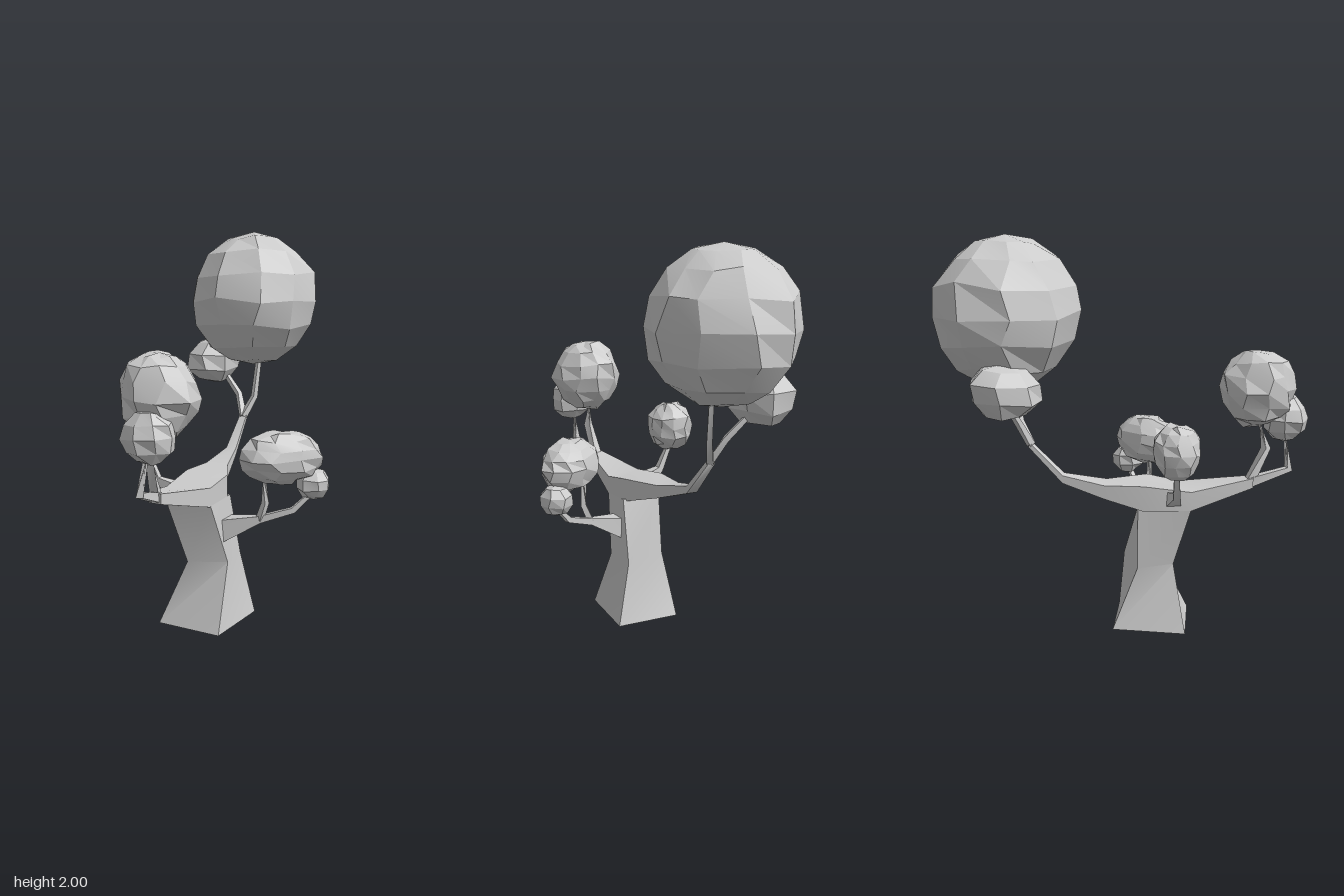
import * as THREE from 'three';
import { mergeVertices, toCreasedNormals } from 'three/addons/utils/BufferGeometryUtils.js';

const material = new THREE.MeshStandardMaterial({ color: 0xcccccc });

// Skin a list of four-cornered rings, capped at both ends
function loft(name, rings) {
  const index = [];
  for (let i = 0; i < rings.length - 1; i++) {
    for (let j = 0; j < 4; j++) {
      const a = i * 4 + j, b = i * 4 + (j + 1) % 4;
      index.push(a, b, b + 4, a, b + 4, a + 4);
    }
  }
  const e = (rings.length - 1) * 4;
  index.push(0, 2, 1, 0, 3, 2, e, e + 1, e + 2, e, e + 2, e + 3);
  const geo = new THREE.BufferGeometry();
  geo.setAttribute('position', new THREE.Float32BufferAttribute(rings.flat(2), 3));
  geo.setIndex(index);
  const mesh = new THREE.Mesh(toCreasedNormals(geo, 0.75), material);
  mesh.name = name;
  return mesh;
}

// Tapering square limb through points [x, y, z, half width]
function limb(name, path) {
  const pts = path.map(p => new THREE.Vector3(p[0], p[1], p[2]));
  const rings = pts.map((p, i) => {
    const t = pts[Math.min(i + 1, pts.length - 1)].clone().sub(pts[Math.max(i - 1, 0)]).normalize();
    const u = new THREE.Vector3(t.z, 0, -t.x).normalize();
    const v = t.clone().cross(u);
    return [[-1, -1], [1, -1], [1, 1], [-1, 1]].map(([a, b]) =>
      p.clone().addScaledVector(u, a * path[i][3]).addScaledVector(v, b * path[i][3]).toArray());
  });
  return loft(name, rings);
}

// Lumpy low-poly ball of leaves
function foliage(name, centre, radii, seed, { turn = 0, sides = 10, rows = 8, lump = 0.16 } = {}) {
  let s = seed * 7919;
  const random = () => (s = (s * 16807) % 2147483647) / 2147483647;
  for (let i = 0; i < 4; i++) random();
  let geo = new THREE.SphereGeometry(1, sides, rows);
  geo.deleteAttribute('uv');
  geo.deleteAttribute('normal');
  geo = mergeVertices(geo, 1e-3);
  const pos = geo.attributes.position, v = new THREE.Vector3(), up = new THREE.Vector3(0, 1, 0);
  for (let i = 0; i < pos.count; i++) {
    v.fromBufferAttribute(pos, i).applyAxisAngle(up, (random() - 0.5) * 0.25);
    v.y += (random() - 0.5) * 0.12;
    v.normalize().multiplyScalar(1.01 + (random() - 0.5) * lump);
    pos.setXYZ(i, v.x, v.y, v.z);
  }
  geo.scale(...radii);
  const mesh = new THREE.Mesh(toCreasedNormals(geo, 0.22), material);
  mesh.name = name;
  mesh.position.set(...centre);
  mesh.rotation.y = turn;
  return mesh;
}

export function createModel() {
  const tree = new THREE.Group();
  tree.name = 'tree';

  // Twisted four-sided trunk
  tree.add(loft('trunk', [
    [[-0.23, 0, 0.34], [0.12, 0, 0.34], [0.13, 0, -0.035], [-0.21, 0, -0.035]],
    [[-0.10, 0.33, 0.27], [0.085, 0.33, 0.18], [0.06, 0.33, 0], [-0.18, 0.33, 0.09]],
    [[-0.16, 0.645, 0.36], [0.05, 0.645, 0.29], [0.05, 0.66, 0.09], [-0.16, 0.66, 0.09]],
  ]));

  // Crown of the trunk, drawn out into the front and back boughs:
  // [z on the left, z on the right, x min, x max, y min, y max]
  tree.add(loft('mainBoughs', [
    [0.67, 0.67, -0.06, 0.01, 0.74, 0.79],
    [0.29, 0.36, -0.16, 0.05, 0.64, 0.738],
    [0.12, 0.12, -0.19, 0.05, 0.64, 0.77],
    [-0.08, -0.08, -0.19, -0.06, 0.70, 0.77],
    [-0.29, -0.29, -0.185, -0.125, 0.775, 0.815],
    [-0.46, -0.46, -0.185, -0.145, 0.96, 0.99],
  ].map(([zl, zr, a, b, lo, hi]) => [[b, lo, zl], [a, lo, zr], [a, hi, zr], [b, hi, zl]])));

  // Side branches and forked twigs
  const limbs = {
    frontTwigInner: [[-0.03, 0.765, 0.65, 0.022], [-0.01, 0.94, 0.73, 0.018], [0, 1.12, 0.68, 0.012]],
    frontTwigOuter: [[-0.03, 0.765, 0.65, 0.024], [0.02, 0.825, 0.85, 0.017], [0.05, 1.06, 0.82, 0.012]],
    backTwigInner: [[-0.165, 0.97, -0.45, 0.017], [-0.125, 1.08, -0.51, 0.014], [-0.11, 1.36, -0.55, 0.011]],
    backTwigOuter: [[-0.165, 0.97, -0.45, 0.017], [-0.22, 1.09, -0.50, 0.014], [-0.37, 1.25, -0.54, 0.011]],
    leftBranch: [[-0.11, 0.68, 0.26, 0.045], [-0.26, 0.745, 0.29, 0.018], [-0.33, 0.90, 0.29, 0.011]],
    rightBranch: [[0.03, 0.49, 0.15, 0.06], [0.23, 0.56, 0.11, 0.018], [0.38, 0.61, 0.04, 0.014], [0.47, 0.71, -0.02, 0.01]],
    rightTwig: [[0.23, 0.56, 0.11, 0.016], [0.265, 0.65, 0.12, 0.014], [0.26, 0.82, 0.12, 0.011]],
  };
  for (const [name, path] of Object.entries(limbs)) tree.add(limb(name, path));

  // Leaf clusters, each large one but the left with a small companion
  tree.add(
    foliage('backFoliage', [-0.155, 1.63, -0.555], [0.36, 0.365, 0.365], 3, { turn: 0.2, lump: 0.07 }),
    foliage('backFoliageSmall', [-0.40, 1.275, -0.52], [0.155, 0.135, 0.18], 5, { sides: 7, rows: 5 }),
    foliage('frontFoliage', [0.02, 1.243, 0.68], [0.188, 0.195, 0.195], 8, { turn: 0.3 }),
    foliage('frontFoliageSmall', [0.055, 1.085, 0.825], [0.122, 0.122, 0.114], 11, { sides: 8, rows: 6 }),
    foliage('leftFoliage', [-0.325, 0.99, 0.29], [0.122, 0.135, 0.122], 13, { turn: 0.1 }),
    foliage('rightFoliage', [0.345, 0.89, 0.10], [0.222, 0.13, 0.135], 17, { turn: Math.PI / 4 }),
    foliage('rightFoliageSmall', [0.465, 0.745, -0.02], [0.09, 0.08, 0.09], 19, { turn: 0.4, sides: 7, rows: 5 }),
  );
  return tree;
}
